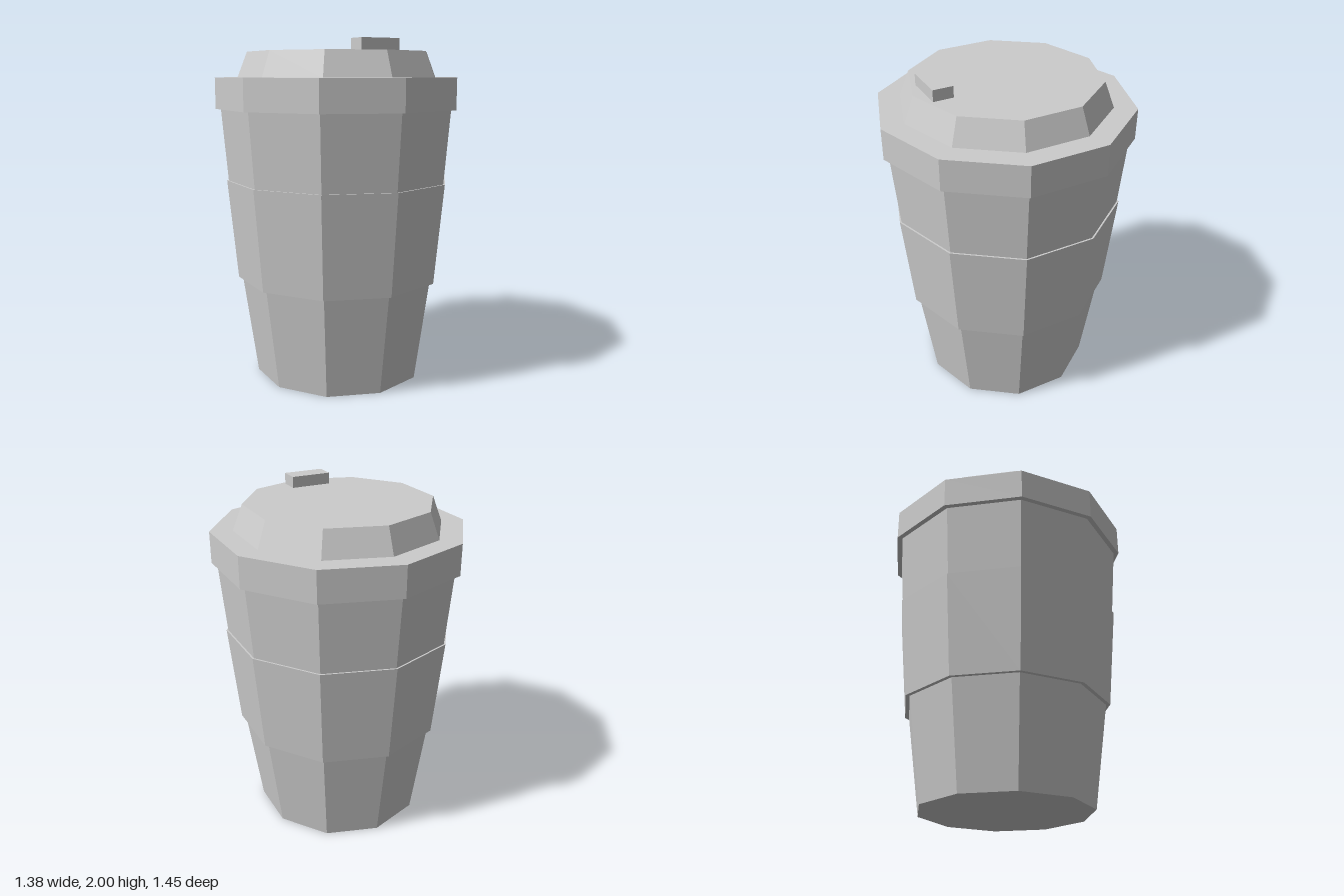
import * as THREE from 'three';

const SIDES = 10;

export function createModel() {
  const group = new THREE.Group();
  group.name = 'takeawayCup';
  const grey = new THREE.MeshStandardMaterial({ color: 0xcccccc, flatShading: true });
  grey.name = 'lightGrey';

  // Ten-sided solid from [radius, height] pairs, bottom to top, with closed ends
  function turned(name, profile) {
    const points = [
      [0, profile[0][1]],
      ...profile,
      [0, profile[profile.length - 1][1]],
    ].map(([r, y]) => new THREE.Vector2(r, y));
    const mesh = new THREE.Mesh(new THREE.LatheGeometry(points, SIDES), grey);
    mesh.name = name;
    group.add(mesh);
  }

  // Tapered cup
  turned('cupBody', [[0.505, 0], [0.59, 0.6], [0.66, 1.19], [0.695, 1.61]]);

  // Heat sleeve standing slightly proud of the cup
  turned('sleeve', [[0.614, 0.6], [0.67, 1.19]]);

  // Lid: straight brim and raised sloping cap
  turned('lidBrim', [[0.725, 1.61], [0.725, 1.79]]);
  turned('lidCap', [[0.595, 1.79], [0.538, 1.936]]);

  // Drinking tab near the front edge of the lid
  const tab = new THREE.Mesh(new THREE.BoxGeometry(0.236, 0.064, 0.115), grey);
  tab.name = 'drinkingTab';
  tab.position.set(0, 1.968, 0.416);
  group.add(tab);

  return group;
}
